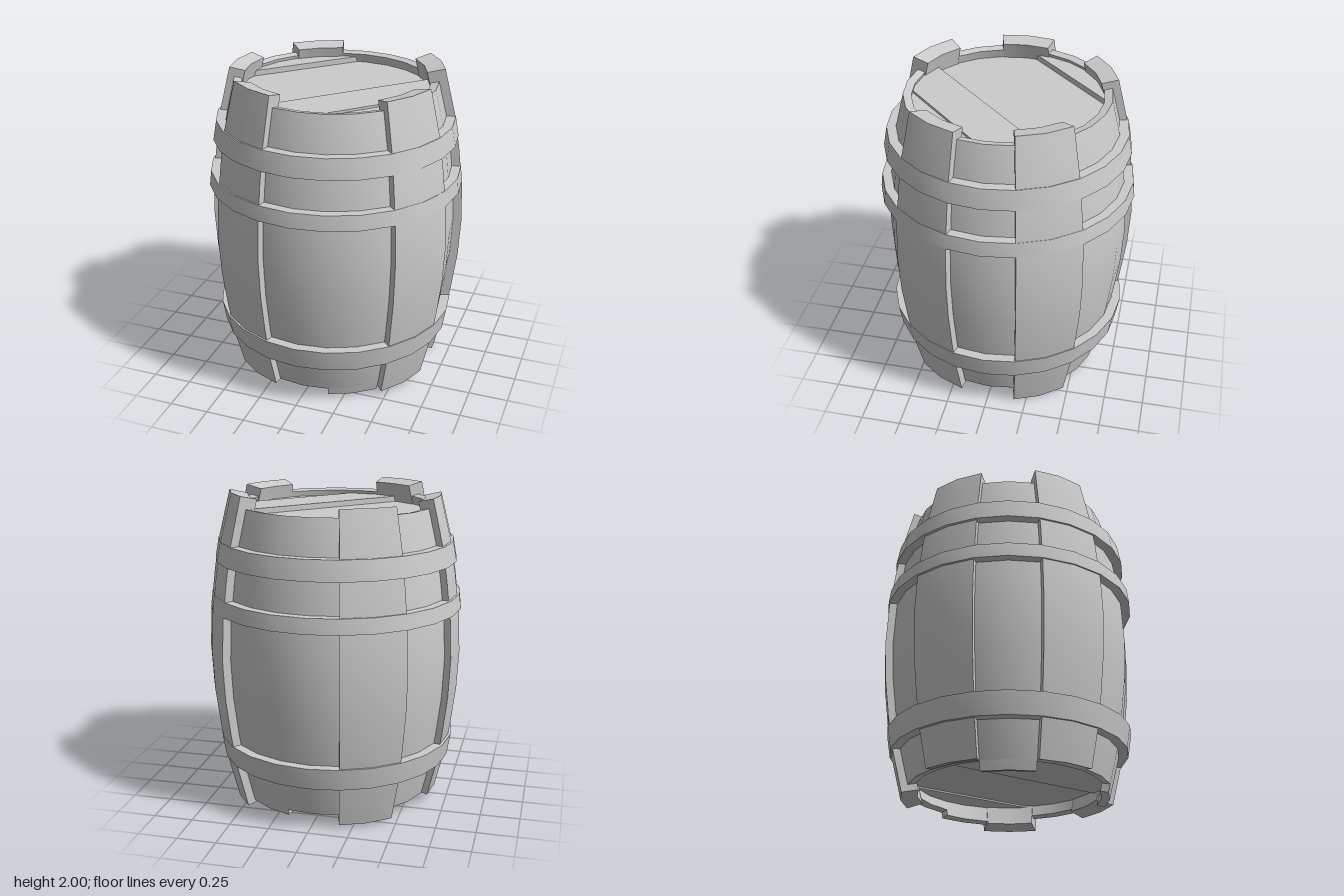
import * as THREE from 'three';
import { mergeGeometries, toCreasedNormals } from 'three/addons/utils/BufferGeometryUtils.js';

const rad = THREE.MathUtils.degToRad;

// Outer radius of the raised staves at a series of heights
const BULGE = [[0, 0.65], [0.29, 0.722], [0.5, 0.757], [0.75, 0.788], [1, 0.8],
  [1.25, 0.788], [1.5, 0.757], [1.71, 0.722], [2, 0.65]];

function radiusAt(y) {
  const i = Math.max(1, BULGE.findIndex(p => p[0] >= y));
  const [y0, r0] = BULGE[i - 1], [y1, r1] = BULGE[i];
  return r0 + (r1 - r0) * (y - y0) / (y1 - y0);
}

// Closed wall section that follows the bulge, with ends cut square to the curve
function wallProfile(y0, y1, offset, thickness) {
  const ys = [y0, ...BULGE.map(p => p[0]).filter(y => y > y0 + 0.01 && y < y1 - 0.01), y1];
  const outer = ys.map(y => new THREE.Vector2(radiusAt(y) + offset, y));
  const inner = outer.map(p =>
    new THREE.Vector2(p.x - thickness, p.y - 0.22 * thickness * (p.y - 1))).reverse();
  return [...outer, ...inner];
}

// Sweep a closed section around the axis; partial sweeps get end caps
function sweep(profile, from = 0, to = 360) {
  const closed = [...profile, profile[0].clone()];
  const steps = Math.round((to - from) / 15);
  const parts = [new THREE.LatheGeometry(closed, steps, rad(from), rad(to - from))];
  if (to - from < 360) {
    [from, to].forEach((angle, end) => {
      const cap = new THREE.ShapeGeometry(new THREE.Shape(profile));
      if (end) cap.setIndex(Array.from(cap.index.array).reverse());
      parts.push(cap.rotateY(rad(angle - 90)));
    });
  }
  const flat = parts.map(p => {
    const g = p.toNonIndexed();
    g.deleteAttribute('uv');
    return g;
  });
  return toCreasedNormals(mergeGeometries(flat), 0.5);
}

// Slice of a disc between two parallel cuts
function board(d0, d1, y, thickness, turn) {
  const R = 0.6, n = 10, side = [];
  for (let i = 0; i <= n; i++) {
    const u = d0 + (d1 - d0) * i / n;
    side.push(new THREE.Vector2(u, -Math.sqrt(Math.max(0.0001, R * R - u * u))));
  }
  const far = side.map(p => new THREE.Vector2(p.x, -p.y)).reverse();
  const g = new THREE.ExtrudeGeometry(new THREE.Shape([...side, ...far]),
    { depth: thickness, bevelEnabled: false });
  return g.rotateX(-Math.PI / 2).rotateY(rad(turn)).translate(0, y, 0);
}

export function createModel() {
  const barrel = new THREE.Group();
  barrel.name = 'barrel';
  const grey = new THREE.MeshStandardMaterial({ color: 0xcccccc });
  grey.name = 'plain grey';
  const add = (name, geometry) => {
    const mesh = new THREE.Mesh(geometry, grey);
    mesh.name = name;
    barrel.add(mesh);
  };

  // Recessed wall all the way around
  add('wall', sweep(wallProfile(0.07, 1.92, -0.04, 0.05)));

  // Raised staves: start angle, bottom, top, how far they stand out
  [[45, 0.04, 1.985, 0.015], [105, 0, 2, 0.015], [195, 0.02, 1.975, 0.008],
    [255, 0.065, 1.98, 0.002], [315, 0.06, 2, 0.008]].forEach(([a, y0, y1, out], i) =>
    add(`raisedStave${i + 1}`, sweep(wallProfile(y0, y1, out, 0.095 + out), a, a + 30)));

  // Recessed staves that reach below the wall
  [[15, 0.02], [135, 0.03], [285, 0.01]].forEach(([a, y0], i) =>
    add(`staveFoot${i + 1}`, sweep(wallProfile(y0, 0.07, -0.04, 0.05), a, a + 30)));

  // Hoops: bottom height, top height, radius at each
  [[0.29, 0.43, 0.742, 0.765], [1.275, 1.37, 0.802, 0.79], [1.575, 1.7, 0.765, 0.742]]
    .forEach(([y0, y1, r0, r1], i) => {
      const section = [[r0, y0], [r1, y1], [r1 - 0.08, y1], [r0 - 0.08, y0]];
      add(`hoop${i + 1}`, sweep(section.map(p => new THREE.Vector2(...p))));
    });

  // Lid boards: two cuts and the upper face height
  [[-0.6, -0.455, 1.89], [-0.455, 0.165, 1.855], [0.165, 0.45, 1.89], [0.45, 0.6, 1.875]]
    .forEach(([d0, d1, top], i) =>
      add(`lidBoard${i + 1}`, board(d0, d1, top - 0.1, 0.1, -45)));

  // Base boards: two cuts and the lower face height
  [[-0.6, -0.48, 0.135], [-0.48, -0.12, 0.125], [-0.12, 0.42, 0.15], [0.42, 0.6, 0.14]]
    .forEach(([d0, d1, bottom], i) =>
      add(`baseBoard${i + 1}`, board(d0, d1, bottom, 0.1, 63)));

  return barrel;
}
